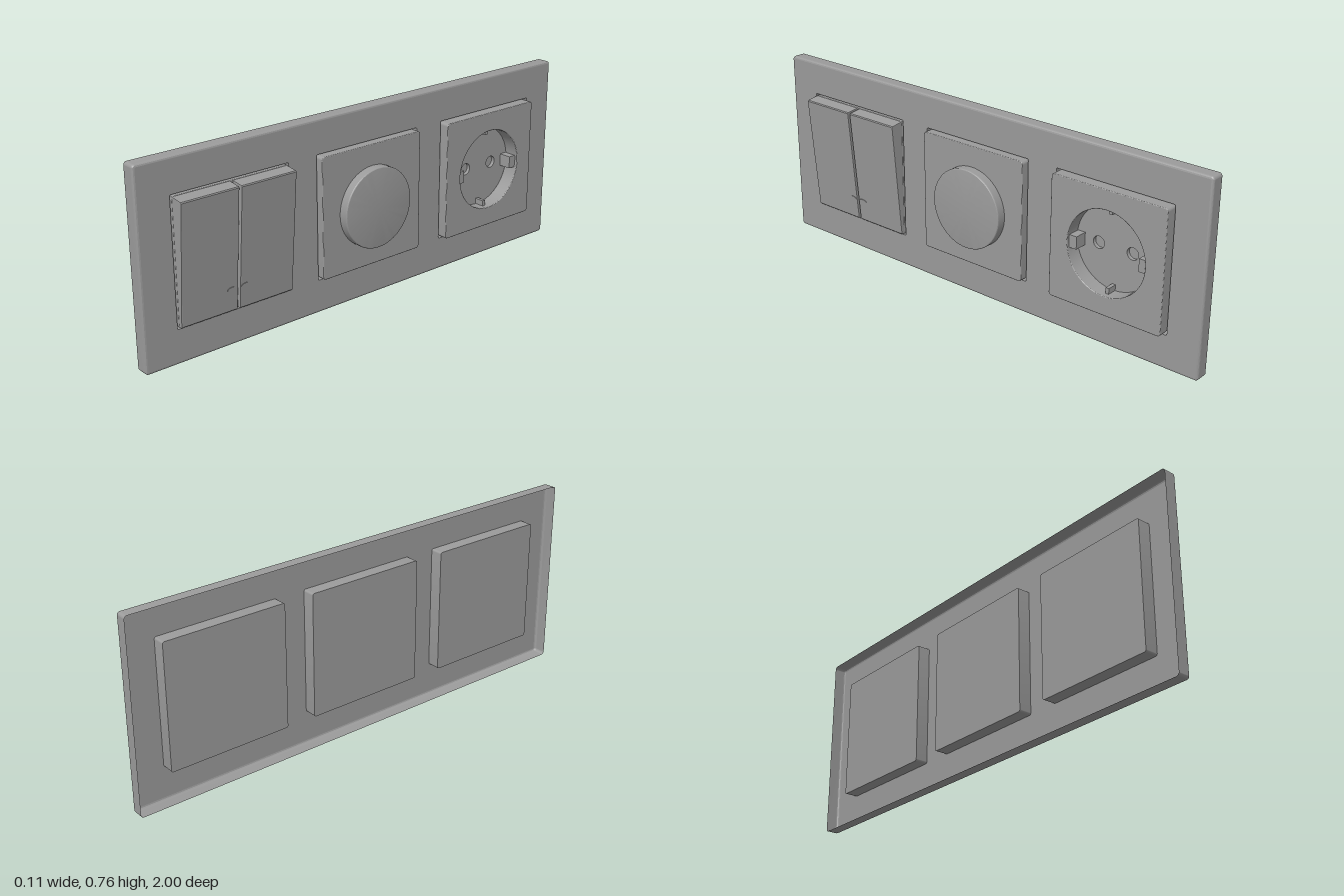
import * as THREE from 'three';
import { toCreasedNormals } from 'three/addons/utils/BufferGeometryUtils.js';

const grey = new THREE.MeshStandardMaterial({ color: 0x9b9b9b });
const sheet = new THREE.MeshStandardMaterial({ color: 0x9b9b9b, side: THREE.DoubleSide });
const MID = 0.38;      // height of the middle line
const PITCH = 0.62;    // spacing of the three inserts
const BACK = -0.058, FACE = -0.006;
const TRAY = -0.05;    // floor of the trays holding the inserts
const WINDOW = 0.494;  // opening around each insert
const CREASE = 0.2;

function add(parent, name, geometry, material = grey) {
  const mesh = new THREE.Mesh(geometry, material);
  mesh.name = name;
  parent.add(mesh);
  return mesh;
}

// Rounded rectangle centred on (cx, 0), drawn counter-clockwise
function roundRect(Type, w, h, r, cx = 0) {
  const s = new Type(), a = w / 2 - r, b = h / 2 - r;
  s.absarc(cx + a, b, r, 0, Math.PI / 2);
  s.absarc(cx - a, b, r, Math.PI / 2, Math.PI);
  s.absarc(cx - a, -b, r, Math.PI, Math.PI * 1.5);
  s.absarc(cx + a, -b, r, Math.PI * 1.5, Math.PI * 2);
  s.closePath();
  return s;
}

function circle(x, y, r) {
  return new THREE.Path().absarc(x, y, r, 0, Math.PI * 2, true);
}

// Shape extruded along +x between x0 and x1, with softened edges
function slab(shape, x0, x1, bevel) {
  const g = new THREE.ExtrudeGeometry(shape, {
    depth: x1 - x0 - 2 * bevel, bevelEnabled: bevel > 0, bevelThickness: bevel,
    bevelSize: bevel, bevelOffset: -bevel, bevelSegments: 3, curveSegments: 32,
  });
  g.translate(0, 0, x0 + bevel).rotateY(Math.PI / 2);
  return toCreasedNormals(g, CREASE);
}

function capShape() {
  return roundRect(THREE.Shape, 0.482, 0.482, 0.012);
}

// Open-backed cover frame: rounded rim lofted from loops, and a pierced face
function buildFrame(root) {
  const frame = new THREE.Group();
  frame.name = 'coverFrame';
  const rows = [[BACK, 0], [-0.015, 0], [-0.011, 0.001], [-0.0075, 0.004], [FACE, 0.009]];
  const loops = rows.map(([x, inset]) =>
    roundRect(THREE.Shape, 2 - 2 * inset, 0.76 - 2 * inset, 0.012 - inset)
      .getPoints(12).map(p => [x, p.y, -p.x]));
  const n = loops[0].length, index = [];
  for (let j = 0; j < rows.length - 1; j++) {
    for (let i = 0; i < n; i++) {
      const k = (i + 1) % n, a = j * n, b = a + n;
      index.push(a + i, a + k, b + k, a + i, b + k, b + i);
    }
  }
  const rim = new THREE.BufferGeometry();
  rim.setAttribute('position', new THREE.Float32BufferAttribute(loops.flat(2), 3));
  rim.setIndex(index);
  add(frame, 'frameRim', toCreasedNormals(rim, CREASE), sheet);

  const face = roundRect(THREE.Shape, 1.982, 0.742, 0.003);
  for (const i of [-1, 0, 1]) face.holes.push(roundRect(THREE.Path, WINDOW, WINDOW, 0.006, i * PITCH));
  const faceGeo = new THREE.ShapeGeometry(face, 6).translate(0, 0, FACE).rotateY(Math.PI / 2);
  add(frame, 'frameFace', faceGeo, sheet);
  root.add(frame);
}

// Closed tray behind a window, leaving a narrow shadow gap round the insert
function buildTray(group) {
  const outline = () => roundRect(THREE.Shape, WINDOW + 0.004, WINDOW + 0.004, 0.008);
  add(group, 'trayBack', slab(outline(), BACK, TRAY, 0));
  const wall = outline();
  wall.holes.push(roundRect(THREE.Path, WINDOW, WINDOW, 0.006));
  add(group, 'trayWall', slab(wall, TRAY, FACE - 0.0005, 0));
}

// Twin rocker switch with tilted keys
function buildSwitch(group) {
  add(group, 'switchBase', slab(capShape(), TRAY - 0.002, -0.004, 0.003));
  const profile = new THREE.Shape([
    [-0.02, -0.24], [0.006, -0.24], [0.009, -0.237], [0.049, 0.229], [0.046, 0.233], [-0.02, 0.241],
  ].map(p => new THREE.Vector2(...p)));
  for (const side of [-1, 1]) {
    const key = new THREE.ExtrudeGeometry(profile, {
      depth: 0.229, bevelThickness: 0.003, bevelSize: 0.002, bevelOffset: -0.002, bevelSegments: 2,
    });
    key.translate(0, 0, -0.1145 + side * 0.1225);
    add(group, 'rockerKey', toCreasedNormals(key, CREASE));
    // small oval indicator near the lower inner corner
    const oval = add(group, 'indicator', new THREE.CylinderGeometry(1, 1, 0.004, 32).rotateZ(-Math.PI / 2));
    oval.scale.set(1, 0.009, 0.021);
    oval.position.set(0.0165, -0.152, side * 0.029);
    oval.rotation.z = -0.086;
  }
}

// Rotary dimmer
function buildDimmer(group) {
  add(group, 'dimmerBase', slab(capShape(), TRAY - 0.002, 0.019, 0.003));
  const profile = [[0.16, 0.01], [0.16, 0.052], [0.159, 0.0545], [0.157, 0.056], [0.154, 0.0565], [0, 0.0565]]
    .map(p => new THREE.Vector2(...p));
  const knob = new THREE.LatheGeometry(profile, 64).rotateZ(-Math.PI / 2);
  add(group, 'dimmerKnob', toCreasedNormals(knob, CREASE)).position.y = -0.002;
}

// Power socket with round well, pin holes, guide ribs and earth clips
function buildSocket(group) {
  const floor = -0.035, R = 0.165;
  const middle = capShape();
  for (const s of [-1, 1]) middle.holes.push(circle(s * 0.072, 0, 0.024));
  add(group, 'socketFloor', slab(middle, TRAY - 0.002, floor, 0));
  const front = capShape();
  front.holes.push(circle(0, 0, R));
  add(group, 'socketFront', slab(front, floor, 0.029, 0.003));
  for (const s of [-1, 1]) {
    const rib = add(group, 'guideRib', new THREE.BoxGeometry(0.052, 0.05, 0.034));
    rib.position.set(floor + 0.026, -0.004, s * (R - 0.016));
    const clip = add(group, 'earthClip', new THREE.BoxGeometry(0.04, 0.024, 0.014));
    clip.position.set(floor + 0.02, s * (R - 0.011), 0);
  }
}

export function createModel() {
  const root = new THREE.Group();
  root.name = 'wallSwitchPanel';
  const body = new THREE.Group();
  body.name = 'panel';
  body.position.y = MID;
  root.add(body);
  buildFrame(body);
  const inserts = [['rockerSwitch', buildSwitch, 1], ['dimmer', buildDimmer, 0], ['socket', buildSocket, -1]];
  for (const [name, build, slot] of inserts) {
    const group = new THREE.Group();
    group.name = name;
    group.position.z = slot * PITCH;
    buildTray(group);
    build(group);
    body.add(group);
  }
  return root;
}
